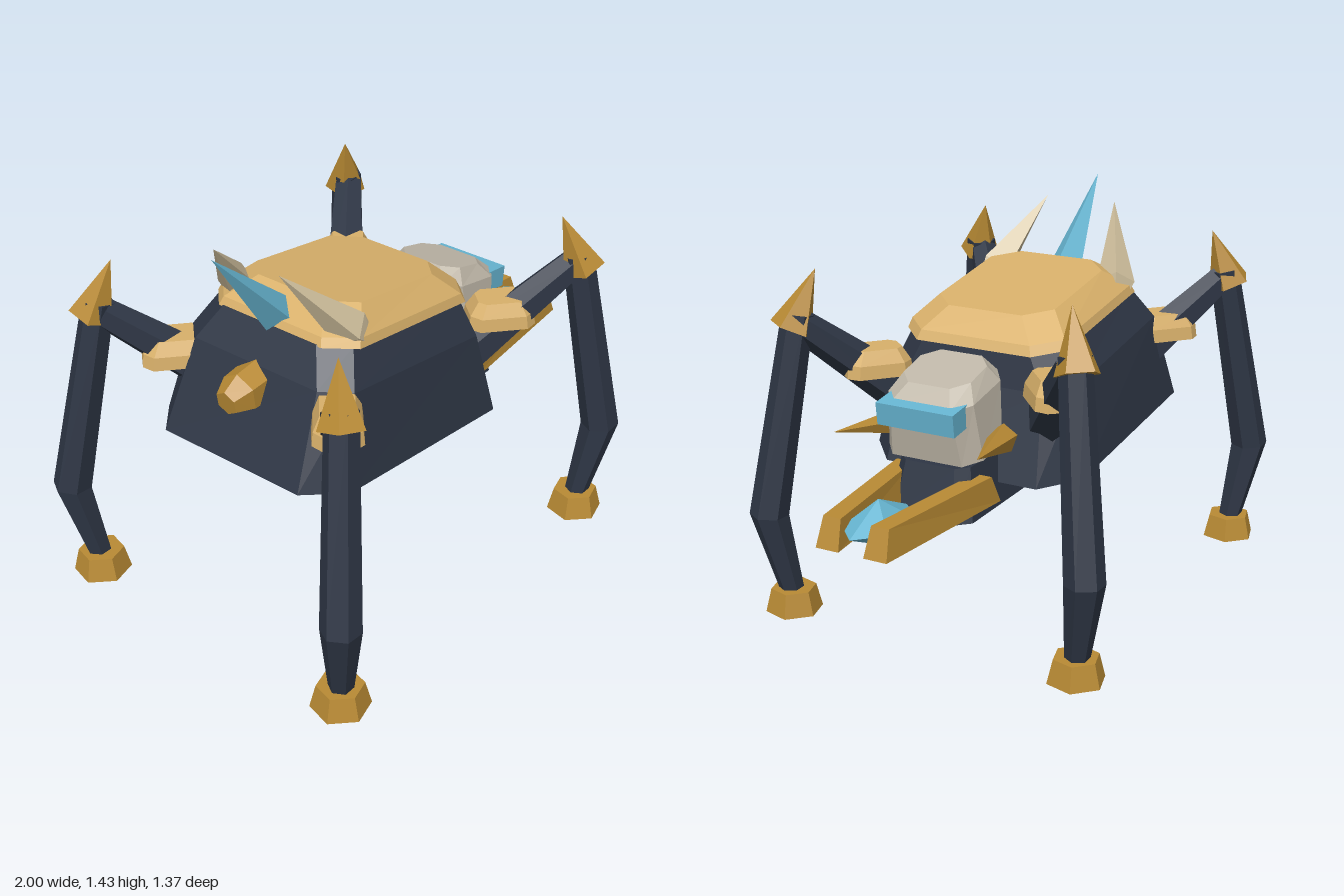
import * as THREE from 'three';

const paint = (name, color) => {
  const m = new THREE.MeshStandardMaterial({ color });
  m.name = name;
  return m;
};

// Faceted closed solid through matching rings of [x, y, z] points
function solid(rings) {
  const tris = [];
  const n = rings[0].length;
  const last = rings[rings.length - 1];
  for (let k = 0; k < rings.length - 1; k++) {
    for (let i = 0; i < n; i++) {
      const j = (i + 1) % n;
      const [a, b, c, d] = [rings[k][i], rings[k][j], rings[k + 1][j], rings[k + 1][i]];
      tris.push([a, b, c], [a, c, d]);
    }
  }
  for (let i = 1; i < n - 1; i++) {
    tris.push([rings[0][0], rings[0][i + 1], rings[0][i]], [last[0], last[i], last[i + 1]]);
  }
  // Keep real triangles only and turn all faces outward
  const V = (p) => new THREE.Vector3(...p);
  const o = V(rings[0][0]);
  let volume = 0;
  const kept = tris.filter(([a, b, c]) => {
    const [p, q, r] = [V(a).sub(o), V(b).sub(o), V(c).sub(o)];
    volume += p.dot(q.clone().cross(r));
    return q.sub(p).cross(r.sub(p)).length() > 1e-8;
  });
  const ordered = kept.map(([a, b, c]) => (volume < 0 ? [a, c, b] : [a, b, c]));
  const g = new THREE.BufferGeometry();
  g.setAttribute('position', new THREE.Float32BufferAttribute(ordered.flat(2), 3));
  g.computeVertexNormals();
  return g;
}

// Chamfered rectangle; its height runs from y0 at x0 to y1 at x1
function octRing(x0, x1, y0, y1, hz, cx, cz) {
  const y = (x) => y0 + ((y1 - y0) * (x - x0)) / (x1 - x0);
  return [[x0, hz - cz], [x0 + cx, hz], [x1 - cx, hz], [x1, hz - cz],
    [x1, cz - hz], [x1 - cx, -hz], [x0 + cx, -hz], [x0, cz - hz]].map(([x, z]) => [x, y(x), z]);
}

// Faceted limb or spike along a path, one radius per point
function limb(path, radii, sides = 6, turn = 0) {
  const pts = path.map((p) => new THREE.Vector3(...p));
  return solid(pts.map((p, k) => {
    const d = pts[Math.min(k + 1, pts.length - 1)].clone().sub(pts[Math.max(k - 1, 0)]).normalize();
    const ref = Math.abs(d.y) > 0.8 ? new THREE.Vector3(1, 0, 0) : new THREE.Vector3(0, 1, 0);
    const u = ref.clone().addScaledVector(d, -ref.dot(d)).normalize();
    const v = d.clone().cross(u);
    return Array.from({ length: sides }, (_, i) => {
      const a = turn + (i / sides) * Math.PI * 2;
      return p.clone().addScaledVector(u, radii[k] * Math.cos(a))
        .addScaledVector(v, radii[k] * Math.sin(a)).toArray();
    });
  }));
}

export function createModel() {
  const navy = paint('dark navy', 0x2e3645);
  const gold = paint('pale gold', 0xd8b06a);
  const bronze = paint('bronze gold', 0xb88a34);
  const bone = paint('bone', 0xcdbd9b);
  const stone = paint('warm grey', 0xbfb7a8);
  const blue = paint('crystal blue', 0x67b6d2);

  const model = new THREE.Group();
  model.name = 'walker';
  const add = (name, geometry, material, parent = model) => {
    const m = new THREE.Mesh(geometry, material);
    m.name = name;
    parent.add(m);
    return m;
  };

  // Sloping hull and its back shell
  add('hull', solid([
    octRing(-0.765, 0.30, 0.66, 0.55, 0.415, 0.13, 0.115),
    octRing(-0.625, 0.205, 0.975, 0.86, 0.36, 0.08, 0.09),
    octRing(-0.55, 0.18, 1.09, 1.0, 0.295, 0.08, 0.09),
  ]), navy);
  add('shell', solid([
    octRing(-0.55, 0.205, 1.085, 0.985, 0.315, 0.09, 0.09),
    octRing(-0.535, 0.19, 1.115, 1.02, 0.305, 0.09, 0.09),
    octRing(-0.435, 0.115, 1.18, 1.10, 0.23, 0.085, 0.085),
  ]), gold);

  // Joint caps at both ends of the hull
  add('rearCap', limb([[-0.60, 0.91, 0], [-0.70, 0.90, 0], [-0.765, 0.89, 0]], [0.08, 0.075, 0.045]), bronze);
  add('neckCap', limb([[0.12, 0.86, 0], [0.235, 0.85, 0]], [0.07, 0.06]), bronze);
  add('neck', limb([[0.15, 0.82, 0], [0.33, 0.81, 0]], [0.08, 0.08]), navy);

  // Head and visor
  add('head', solid([
    octRing(0.27, 0.52, 0.73, 0.675, 0.185, 0.06, 0.05),
    octRing(0.235, 0.56, 0.935, 0.875, 0.165, 0.07, 0.05),
    octRing(0.28, 0.50, 0.99, 0.935, 0.13, 0.055, 0.05),
  ]), stone);
  const visor = add('visor', new THREE.BoxGeometry(0.115, 0.08, 0.296), blue);
  visor.position.set(0.537, 0.848, 0);
  visor.rotation.z = -0.12;

  // Jaw base and the crystal held between the mandibles
  add('jawBase', solid([
    octRing(0.06, 0.55, 0.472, 0.472, 0.165, 0.05, 0.05),
    octRing(0.14, 0.50, 0.655, 0.655, 0.135, 0.04, 0.04),
  ]), navy);
  const hexRing = (r, y) => [[-2, 0], [-1, 1], [1, 1], [2, 0], [1, -1], [-1, -1]]
    .map(([x, z]) => [0.822 + x * r, y, z * r]);
  add('crystal', solid([hexRing(0, 0.485), hexRing(0.086, 0.565), hexRing(0, 0.645)]), blue);

  // Large crystal spine at the rear of the shell
  add('crystalSpine', limb([[-0.46, 1.06, 0], [-0.51, 1.115, 0], [-0.795, 1.43, 0]], [0, 0.067, 0], 4), blue);

  for (const s of [1, -1]) {
    const side = new THREE.Group();
    side.name = s > 0 ? 'rightHandParts' : 'leftHandParts';
    model.add(side);

    // Bone spine beside the crystal spine
    add('boneSpine', limb([[-0.37, 1.05, s * 0.275], [-0.43, 1.11, s * 0.25], [-0.645, 1.36, s * 0.14]],
      [0.03, 0.07, 0], 4), bone, side);

    // Mandible bar, narrower on top and converging forward
    const bar = (y, xa, xb, w) => [[xa, y, s * (0.155 - w)], [xa, y, s * (0.155 + w)],
      [xb, y, s * (0.09 + w)], [xb, y, s * (0.09 - w)]];
    add('mandible', solid([bar(0.512, 0.365, 0.99, 0.043), bar(0.613, 0.41, 0.955, 0.033)]), bronze, side);

    // Tusk beside the head
    add('tusk', limb([[0.35, 0.735, s * 0.20], [0.665, 0.775, s * 0.275]], [0.052, 0], 5), bronze, side);

    // Rear and front legs
    const legs = [
      { name: 'rearLeg', hip: [-0.54, 0.80], guard: [-0.63, 0.36], top: -0.81, tip: -0.775, cap: -0.83, knee: -0.935, foot: -0.88 },
      { name: 'frontLeg', hip: [0.18, 0.77], guard: [0.275, 0.35], top: 0.485, tip: 0.43, cap: 0.50, knee: 0.58, foot: 0.525 },
    ];
    for (const L of legs) {
      const leg = new THREE.Group();
      leg.name = L.name;
      side.add(leg);
      add('thigh', limb([[L.hip[0], L.hip[1], s * 0.29], [L.top, 1.07, s * 0.52]], [0.085, 0.055]), navy, leg);
      add('shin', limb([[L.foot, 0.06, s * 0.572], [L.knee, 0.38, s * 0.622], [L.top, 1.11, s * 0.53]],
        [0.042, 0.07, 0.056]), navy, leg);
      add('kneeSpike', limb([[L.cap, 1.055, s * 0.548], [L.tip, 1.26, s * 0.49]], [0.08, 0], 5), bronze, leg);
      add('foot', limb([[L.foot, 0, s * 0.57], [L.foot, 0.087, s * 0.57]], [0.104, 0.082], 6, 0.26), bronze, leg);

      // Chamfered hip guard pointing along the leg
      const guard = add('hipGuard', solid([
        octRing(-0.12, 0.12, -0.048, -0.048, 0.085, 0.035, 0.035),
        octRing(-0.115, 0.115, 0, 0, 0.08, 0.035, 0.035),
        octRing(-0.085, 0.085, 0.048, 0.048, 0.058, 0.025, 0.025),
      ]), gold, leg);
      guard.position.set(L.guard[0], 0.915, s * L.guard[1]);
      guard.rotation.y = (L.name === 'rearLeg' ? 1 : -1) * s * 0.72;
    }
  }
  return model;
}
